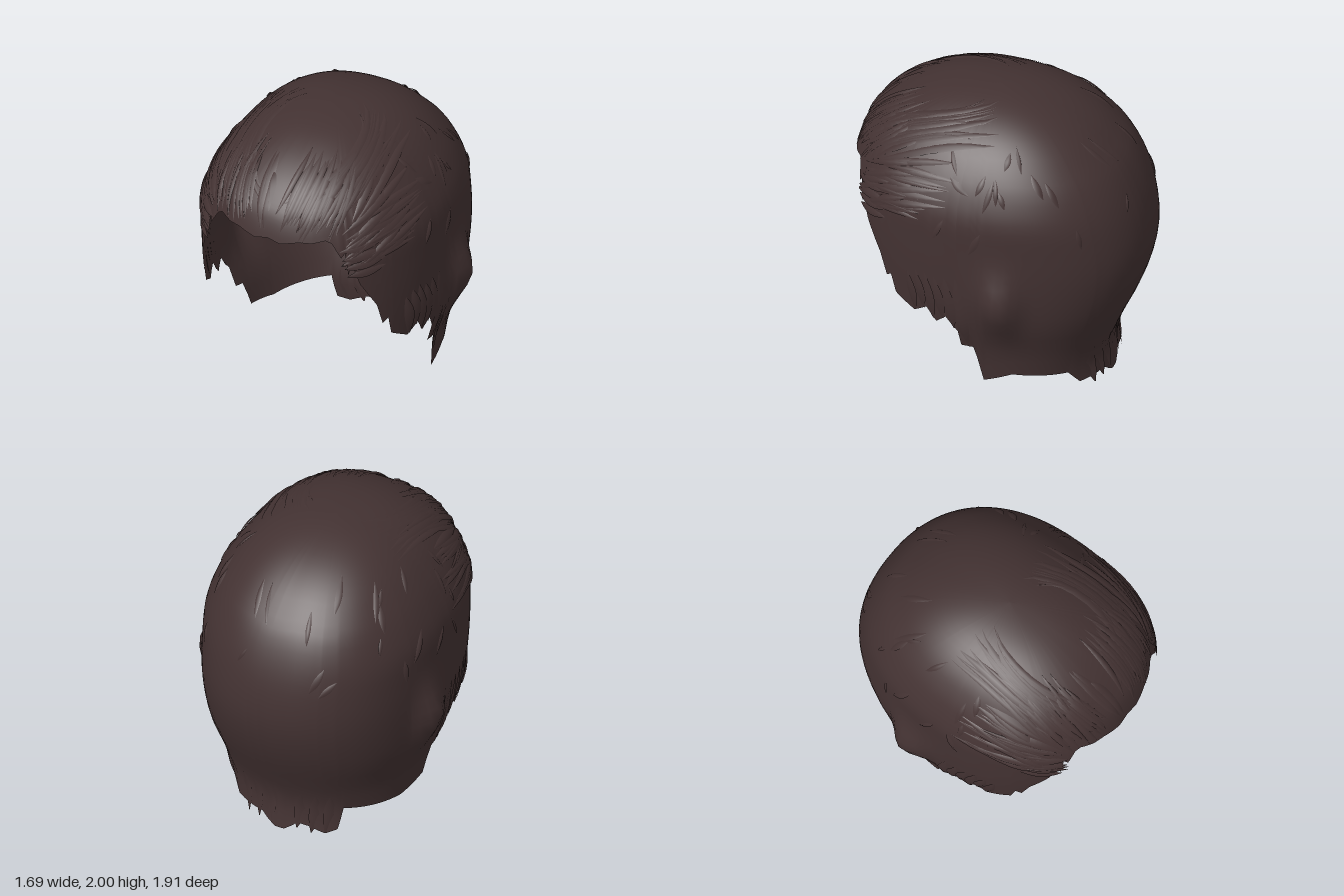
import * as THREE from 'three';

const hair = new THREE.MeshStandardMaterial({ color: 0x433232, side: THREE.DoubleSide });
hair.name = 'dark brown hair';

// Head sections: height, half width, front z, back z
const SECTIONS = [
  [2, 0, 0.03, 0.03], [1.97, 0.235, 0.34, -0.22], [1.9, 0.4, 0.55, -0.42], [1.8, 0.53, 0.72, -0.585],
  [1.7, 0.615, 0.83, -0.695], [1.6, 0.68, 0.905, -0.785], [1.4, 0.76, 0.965, -0.885], [1.2, 0.77, 0.97, -0.94],
  [1, 0.77, 0.95, -0.955], [0.8, 0.76, 0.92, -0.92], [0.6, 0.735, 0.9, -0.85], [0.4, 0.675, 0.88, -0.76],
  [0.2, 0.645, 0.85, -0.69], [0, 0.62, 0.82, -0.715],
];
const CENTRE_Z = 0.03;
const ROUNDNESS = 0.87;

// Hairline: degrees away from the front, height
const SIDE_LINE = [
  [0, 1.47], [5, 1.45], [14, 1.48], [20, 1.48], [27, 1.5], [30, 1.48], [34, 1.38], [36, 1.41], [39, 1.34],
  [37.5, 1.25], [43, 1.17], [51, 0.98], [54, 0.82], [57, 0.85], [59, 0.72], [69, 0.64], [75, 0.7], [79, 0.6],
  [83, 0.66], [87, 0.55], [87.5, 0.42],
].sort((a, b) => a[0] - b[0]);
const LEFT_LINE = [...SIDE_LINE, [91, 0.42], [92, 0.34], [94.5, 0.15], [108, 0.22], [140, 0.18],
  [147, 0.08], [168, 0.07], [172, 0.03], [176, 0], [180, 0]];
const RIGHT_LINE = [...SIDE_LINE, [91, 0.4], [95, 0.22], [112, 0.18], [149, 0.21], [151, 0.05],
  [158, 0.02], [168, 0.06], [174, 0.07], [180, 0]];

let seed = 7;
const rnd = (a, b) => {
  seed = (seed * 16807) % 2147483647;
  return a + (b - a) * seed / 2147483647;
};

// Smooth lookup of one section column, spaced by distance below the crown
const key = y => Math.sqrt(Math.max(0, 2 - y));
function section(y, c) {
  const n = SECTIONS.length, u = key(y);
  let i = 0;
  while (i < n - 2 && u > key(SECTIONS[i + 1][0])) i++;
  const k = j => key(SECTIONS[j][0]), v = j => SECTIONS[j][c];
  const slope = j => {
    const a = Math.max(0, j - 1), b = Math.min(n - 1, j + 1);
    return (v(b) - v(a)) / (k(b) - k(a));
  };
  const h = k(i + 1) - k(i), t = Math.min(1, (u - k(i)) / h), t2 = t * t, t3 = t2 * t;
  return (2 * t3 - 3 * t2 + 1) * v(i) + (t3 - 2 * t2 + t) * h * slope(i)
    + (3 * t2 - 2 * t3) * v(i + 1) + (t3 - t2) * h * slope(i + 1);
}

function hairline(deg) {
  const line = deg >= 0 ? LEFT_LINE : RIGHT_LINE, a = Math.abs(deg);
  let i = 0;
  while (i < line.length - 2 && a > line[i + 1][0]) i++;
  const [a0, y0] = line[i], [a1, y1] = line[i + 1];
  return y0 + (y1 - y0) * (a - a0) / (a1 - a0);
}

// Point on the hair surface, swelling out over the ears
function surface(deg, y) {
  const a = THREE.MathUtils.degToRad(deg), s = Math.sin(a), c = Math.cos(a);
  const reach = section(y, c > 0 ? 2 : 3) - CENTRE_Z;
  const z = CENTRE_Z + reach * Math.abs(c) ** ROUNDNESS;
  const ear = 0.1 * Math.exp(-(((y - 0.82) / 0.2) ** 2) - ((z + 0.21) / (z > -0.21 ? 0.16 : 0.1)) ** 2);
  const x = Math.sign(s) * (Math.abs(s) ** ROUNDNESS * section(y, 1) + ear);
  return new THREE.Vector3(x, y, z);
}

function gridMesh(name, columns, wrap) {
  const rows = columns[0].length, pos = [], index = [];
  columns.forEach(col => col.forEach(v => pos.push(v.x, v.y, v.z)));
  const n = columns.length;
  for (let i = 0; i < (wrap ? n : n - 1); i++) {
    for (let j = 0; j < rows - 1; j++) {
      const a = i * rows + j, b = ((i + 1) % n) * rows + j;
      index.push(a, b, a + 1, b, b + 1, a + 1);
    }
  }
  const geo = new THREE.BufferGeometry();
  geo.setAttribute('position', new THREE.Float32BufferAttribute(pos, 3));
  geo.setIndex(index);
  geo.computeVertexNormals();
  const mesh = new THREE.Mesh(geo, hair);
  mesh.name = name;
  return mesh;
}

// Main cap from hairline to crown, with columns on every hairline corner
function makeCap() {
  const angles = new Set();
  for (let d = -177; d <= 180; d += 3) angles.add(d);
  LEFT_LINE.forEach(([d]) => angles.add(d));
  RIGHT_LINE.forEach(([d]) => { if (d > 0 && d < 180) angles.add(-d); });
  const columns = [...angles].sort((a, b) => a - b).map(d => {
    const low = hairline(d);
    return Array.from({ length: 33 }, (_, j) => surface(d, low + (2 - low) * (1 - (1 - j / 32) ** 2)));
  });
  return gridMesh('hairCap', columns, true);
}

// Tapered ridged lock running along the surface from one spot to another
function makeLock(name, d0, y0, d1, y1, width, lift, bend = 0) {
  const steps = 10, path = [], waves = [];
  for (let i = 0; i <= steps; i++) {
    const t = i / steps, wave = Math.sin(t * Math.PI);
    waves.push(wave);
    path.push(surface(d0 + (d1 - d0) * t, Math.min(1.985, y0 + (y1 - y0) * t + bend * wave)));
  }
  const columns = path.map((p, i) => {
    const along = path[Math.min(steps, i + 1)].clone().sub(path[Math.max(0, i - 1)]);
    const out = new THREE.Vector3(p.x, (p.y - 1) * 0.9, p.z).normalize();
    const side = along.cross(out).normalize().multiplyScalar(width * (0.08 + 0.92 * waves[i]));
    const base = p.clone().addScaledVector(out, 0.003);
    const ridge = base.clone().addScaledVector(out, lift * waves[i]);
    return [base.clone().add(side), ridge, base.clone().sub(side)];
  });
  return gridMesh(name, columns, false);
}

export function createModel() {
  const group = new THREE.Group();
  group.name = 'sweptBackHair';
  group.add(makeCap());

  for (const s of [-1, 1]) {
    // Locks swept up and back from the forehead
    for (let i = 0; i < 26; i++) {
      const d = rnd(1, 34);
      group.add(makeLock('foreheadLock', s * d, rnd(1.47, 1.64), s * (d * 1.5 + rnd(2, 12)), rnd(1.78, 1.92),
        rnd(0.016, 0.034), rnd(0.008, 0.016), 0.03));
    }
    // Long locks combed straight back over the top
    for (let i = 0; i < 16; i++) {
      const d = 4 + i * 2.6, x = 0.68 * Math.sin(d * Math.PI / 180) ** ROUNDNESS;
      group.add(makeLock('topLock', s * d, rnd(1.58, 1.7), s * rnd(75, 100), 1.985 - 0.6 * x * x,
        rnd(0.018, 0.035), rnd(0.006, 0.012), 0.06));
    }
    // Locks combed back over the temples
    for (let i = 0; i < 28; i++) {
      const d = rnd(34, 48), y = rnd(1.28, 1.62);
      group.add(makeLock('templeLock', s * d, y, s * (d + rnd(20, 42)), y + rnd(0.04, 0.22),
        rnd(0.014, 0.032), rnd(0.006, 0.014), 0.02));
    }
    // Loose points at the temple edge
    for (let i = 0; i < 4; i++) {
      const y = 1.24 + i * 0.06;
      group.add(makeLock('templeTip', s * (37 - i * 1.2), y, s * 56, y + 0.03, 0.03, 0.008));
    }
    // Locks falling past the ears
    for (let i = 0; i < 6; i++) {
      const d = 70 + i * 4;
      group.add(makeLock('earLock', s * (d - 3), rnd(0.88, 1), s * d, hairline(s * d), 0.045, 0.012));
    }
    // Short flyaway locks over the crown and back
    for (let i = 0; i < 16; i++) {
      const d = rnd(75, 170), y = rnd(1.35, 1.9);
      group.add(makeLock('crownLock', s * d, y, s * (d + rnd(-4, 8)), y - rnd(0.08, 0.2), rnd(0.012, 0.024), 0.008));
    }
    // Points along the nape
    for (let i = 0; i < 3; i++) {
      const d = 156 + i * 8;
      group.add(makeLock('napeLock', s * d, 0.32, s * (d + 2), rnd(0.02, 0.05), 0.04, 0.01));
    }
  }
  return group;
}
